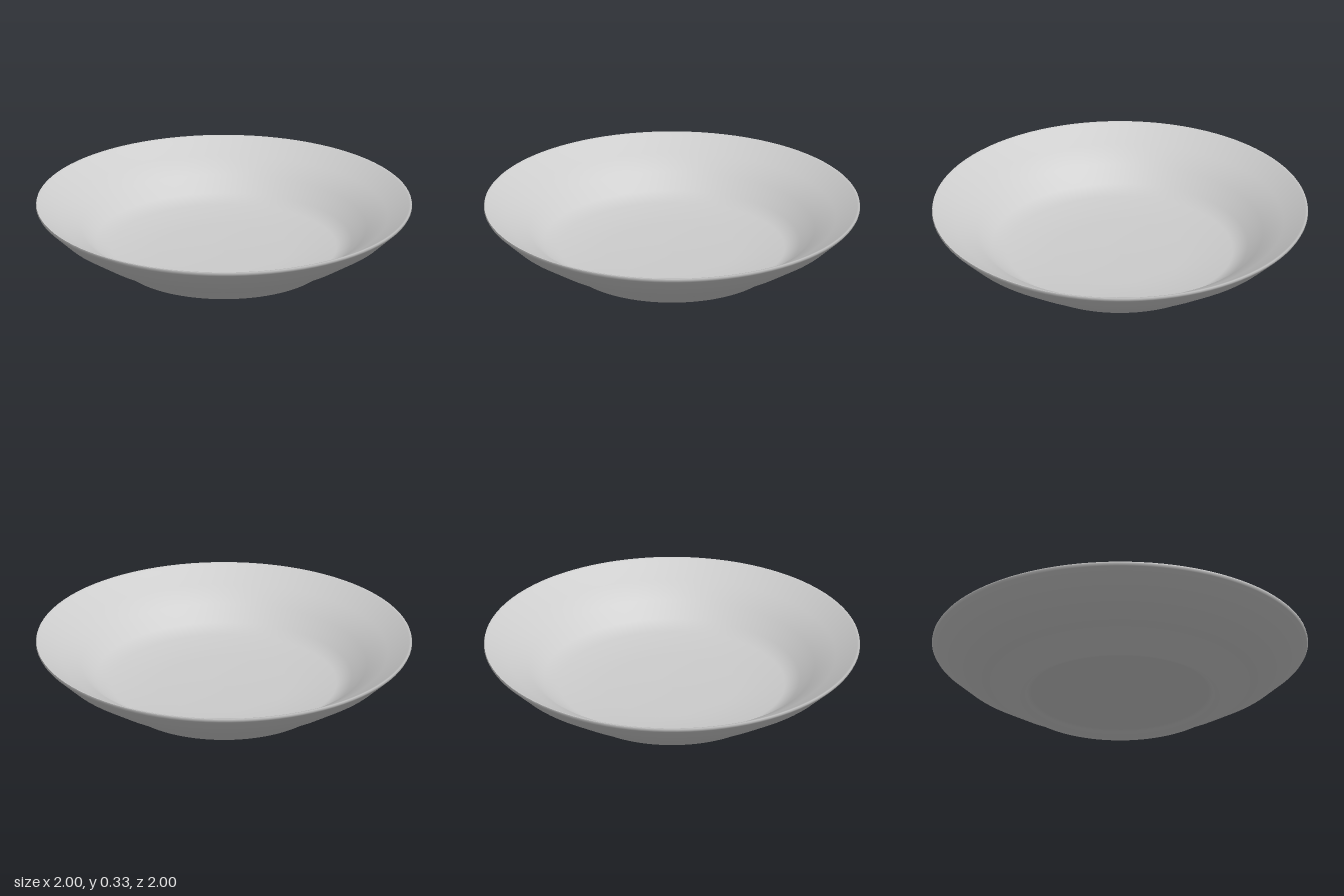
import * as THREE from 'three';

export function createModel() {
  const glaze = new THREE.MeshStandardMaterial({ color: 0xcccccc });
  glaze.name = 'pale grey glaze';
  const group = new THREE.Group();
  group.name = 'plate';

  // Each part is a smooth surface of revolution
  const addLathe = (name, profile) => {
    const points = profile.map(([r, y]) => new THREE.Vector2(r, y));
    const mesh = new THREE.Mesh(new THREE.LatheGeometry(points, 96), glaze);
    mesh.name = name;
    group.add(mesh);
  };

  // Recessed underside, foot ring and outer wall up to the rim
  addLathe('underside', [
    [0, 0.03], [0.47, 0.03], [0.495, 0.027], [0.52, 0], [0.55, 0],
    [0.575, 0.037], [0.725, 0.105], [0.885, 0.205], [0.993, 0.305],
    [1, 0.318], [0.998, 0.327],
  ]);
  // Rim, gently sloping upper wall, steeper lower wall and dished floor
  addLathe('dish', [
    [0.998, 0.327], [0.985, 0.325], [0.965, 0.308], [0.87, 0.258],
    [0.76, 0.195], [0.68, 0.12], [0.6, 0.085], [0.35, 0.068], [0, 0.065],
  ]);

  return group;
}
